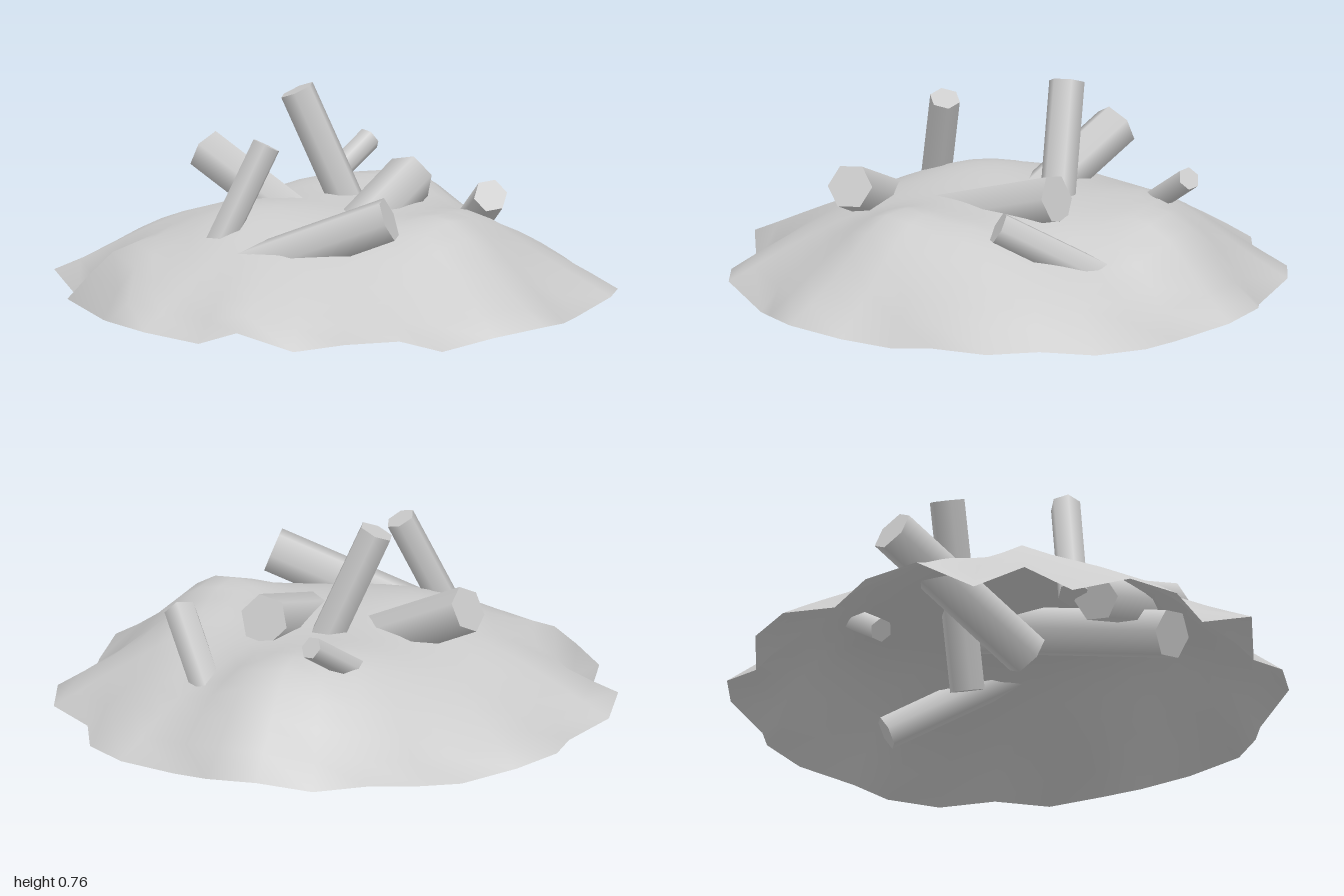
import * as THREE from 'three';

const SEGMENTS = 32;
const RINGS = 12;

// Scalloped rim: radius and height every 11.25 degrees, from +x towards +z
const rimRadius = [
  1, 0.92, 0.96, 1.02, 0.97, 0.92, 0.995, 0.98, 0.92, 1, 0.92, 0.99, 0.99, 0.9, 0.97, 0.9,
  1, 1.005, 0.93, 1.005, 1, 0.93, 1.005, 1, 0.93, 1, 1, 0.92, 1, 1, 0.93, 1.015,
];
const rimHeight = [
  0.06, 0.02, 0.035, 0.06, 0.04, 0, 0.065, 0.055, 0.015, 0.09, 0.02, 0.05, 0.06, 0.025, 0.07, 0.03,
  0.1, 0.07, 0.04, 0.06, 0.05, 0.01, 0.05, 0.06, 0.015, 0.06, 0.05, 0.01, 0.03, 0.03, 0.035, 0.05,
];

// Lumps and hollows on the mound: x, z, height, spread
const lumps = [
  [0.49, 0.3, 0.1, 0.2],
  [0.52, 0, 0.045, 0.15],
  [0.2, -0.68, 0.12, 0.24],
  [-0.12, -0.53, 0.06, 0.24],
  [0.42, -0.45, -0.03, 0.12],
  [-0.33, 0.2, 0.04, 0.25],
  [-0.74, 0.38, 0.1, 0.15],
  [-0.65, -0.1, 0.02, 0.2],
];

// Sticks: exposed end, buried end, radius
const sticks = [
  [[-0.49, 0.49, -0.27], [0.05, 0.19, 0.05], 0.085],
  [[-0.155, 0.74, -0.18], [0.12, 0.12, -0.2], 0.065],
  [[0.03, 0.47, -0.68], [-0.18, 0.26, -0.42], 0.043],
  [[0.55, 0.39, -0.12], [0.36, 0.12, -0.59], 0.062],
  [[0.24, 0.42, -0.25], [-0.05, 0.14, 0.63], 0.092],
  [[0.28, 0.42, 0.5], [-0.38, 0.16, 0.46], 0.083],
  [[-0.195, 0.63, 0.28], [-0.4, 0.18, 0.38], 0.055],
];

// Open shell of rings, smooth at the crown and scalloped at the rim
function moundGeometry() {
  const positions = [0, 0.37, 0];
  const indices = [];
  for (let r = 1; r <= RINGS; r++) {
    const t = r / RINGS;
    for (let s = 0; s < SEGMENTS; s++) {
      const angle = (s / SEGMENTS) * Math.PI * 2;
      const radius = t * THREE.MathUtils.lerp(0.96, rimRadius[s], t ** 4);
      const x = Math.cos(angle) * radius;
      const z = Math.sin(angle) * radius;
      const base = THREE.MathUtils.lerp(0.05, rimHeight[s], t ** 4);
      let y = base + (0.37 - base) * (1 - t ** 2.4);
      for (const [lx, lz, height, spread] of lumps) {
        const d = Math.hypot(x - lx, z - lz) / spread;
        y += height * Math.exp(-d * d) * (1 - t ** 8);
      }
      positions.push(x, y, z);

      const next = (s + 1) % SEGMENTS;
      const outer = 1 + (r - 1) * SEGMENTS;
      if (r === 1) {
        indices.push(0, outer + next, outer + s);
      } else {
        const inner = outer - SEGMENTS;
        indices.push(inner + s, inner + next, outer + s);
        indices.push(inner + next, outer + next, outer + s);
      }
    }
  }
  const geometry = new THREE.BufferGeometry();
  geometry.setAttribute('position', new THREE.Float32BufferAttribute(positions, 3));
  geometry.setIndex(indices);
  geometry.computeVertexNormals();
  return geometry;
}

// Six-sided stick running between two points
function createStick([top, bottom, radius], material) {
  const a = new THREE.Vector3(...top);
  const b = new THREE.Vector3(...bottom);
  const axis = a.clone().sub(b);
  const stick = new THREE.Mesh(
    new THREE.CylinderGeometry(radius, radius, axis.length(), 6),
    material
  );
  stick.position.copy(a).add(b).multiplyScalar(0.5);
  stick.quaternion.setFromUnitVectors(new THREE.Vector3(0, 1, 0), axis.normalize());
  return stick;
}

export function createModel() {
  const model = new THREE.Group();
  model.name = 'moundWithSticks';
  const material = new THREE.MeshStandardMaterial({ color: 0xcccccc });

  const mound = new THREE.Mesh(
    moundGeometry(),
    new THREE.MeshStandardMaterial({ color: 0xcccccc, side: THREE.DoubleSide })
  );
  mound.name = 'mound';
  model.add(mound);

  sticks.forEach((data, i) => {
    const stick = createStick(data, material);
    stick.name = `stick${i + 1}`;
    model.add(stick);
  });
  return model;
}
